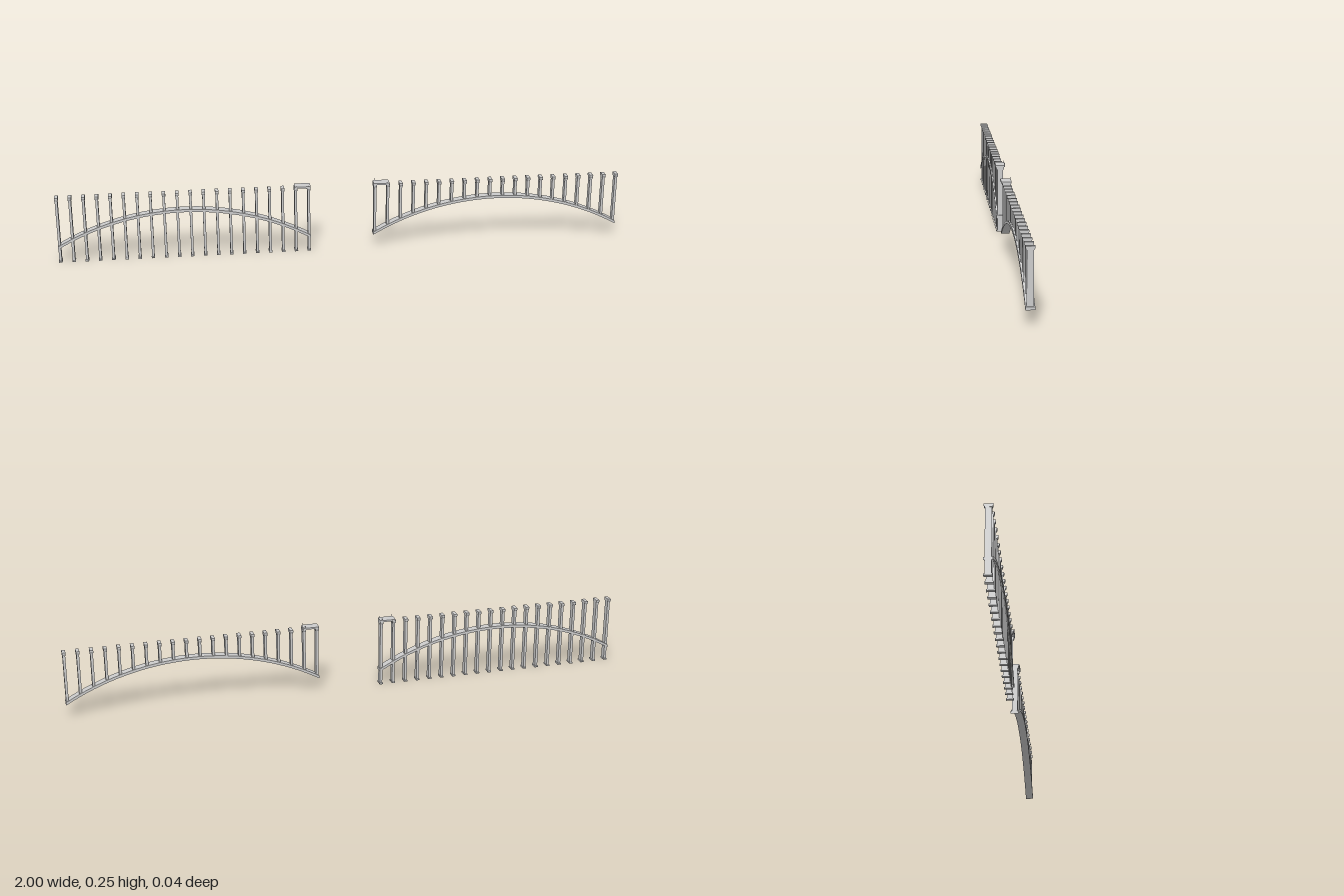
import * as THREE from 'three';

const material = new THREE.MeshStandardMaterial({ color: 0xcccccc, flatShading: true, side: THREE.DoubleSide });
const POSTS = 20, INNER = 0.118, OUTER = 0.994;
const MID = 0.556, HALF = 0.444, PEAK = 0.18, RISE = 0.12;
const RADIUS = (HALF * HALF + RISE * RISE) / (2 * RISE);

// Height of the arch's upper face at distance x from the centre
const archTop = (x) => PEAK - RADIUS + Math.sqrt(RADIUS * RADIUS - (x - MID) ** 2);

function add(parent, name, geometry, x = 0, y = 0, z = 0) {
  const mesh = new THREE.Mesh(geometry, material);
  mesh.name = name;
  mesh.position.set(x, y, z);
  parent.add(mesh);
  return mesh;
}

// Curved band of constant thickness, extruded across the depth
function archGeometry() {
  const top = [], bottom = [];
  const steps = 36, thick = 0.01, depth = 0.029;
  for (let i = 0; i <= steps; i++) {
    const x = MID - HALF + (2 * HALF * i) / steps;
    top.push(new THREE.Vector2(x, archTop(x)));
    bottom.unshift(new THREE.Vector2(x, archTop(x) - thick));
  }
  const geometry = new THREE.ExtrudeGeometry(new THREE.Shape([...top, ...bottom]), { depth, bevelEnabled: false });
  return geometry.translate(0, 0, -depth / 2);
}

// Flared capital, wider towards its top
function capitalGeometry() {
  const shape = new THREE.Shape([
    [-0.011, 0], [0.011, 0], [0.0145, 0.006], [0.0145, 0.012], [-0.0145, 0.012], [-0.0145, 0.006],
  ].map(([z, y]) => new THREE.Vector2(z, y)));
  const width = 0.012;
  return new THREE.ExtrudeGeometry(shape, { depth: width, bevelEnabled: false })
    .translate(0, 0, -width / 2).rotateY(Math.PI / 2);
}

// Flat slab with rounded corners
function slabGeometry(w, d, h, r) {
  const s = new THREE.Shape();
  s.moveTo(-w / 2 + r, -d / 2);
  s.lineTo(w / 2 - r, -d / 2);
  s.quadraticCurveTo(w / 2, -d / 2, w / 2, -d / 2 + r);
  s.lineTo(w / 2, d / 2 - r);
  s.quadraticCurveTo(w / 2, d / 2, w / 2 - r, d / 2);
  s.lineTo(-w / 2 + r, d / 2);
  s.quadraticCurveTo(-w / 2, d / 2, -w / 2, d / 2 - r);
  s.lineTo(-w / 2, -d / 2 + r);
  s.quadraticCurveTo(-w / 2, -d / 2, -w / 2 + r, -d / 2);
  return new THREE.ExtrudeGeometry(s, { depth: h, bevelEnabled: false, curveSegments: 4 }).rotateX(-Math.PI / 2);
}

// One half of the bridge; side is -1 or 1, and only one half has posts reaching the ground
function buildHalf(side, toGround) {
  const half = new THREE.Group();
  half.name = side > 0 ? 'leftSpan' : 'rightSpan';

  const arch = archGeometry();
  if (side < 0) arch.translate(-2 * MID, 0, 0);
  add(half, 'arch', arch);

  const capital = capitalGeometry();
  for (let i = 0; i < POSTS; i++) {
    const d = INNER + ((OUTER - INNER) * i) / (POSTS - 1);
    const post = new THREE.Group();
    post.name = 'post';
    post.position.x = side * d;
    const bottom = toGround ? 0 : archTop(d) - 0.005;
    const top = 0.234;
    add(post, 'shaft', new THREE.BoxGeometry(0.009, top - bottom, 0.021), 0, (top + bottom) / 2);
    add(post, 'capital', capital, 0, 0.23);
    if (toGround) add(post, 'foot', new THREE.BoxGeometry(0.012, 0.005, 0.028), 0, 0.0025);
    half.add(post);
  }

  // Wide top over the two innermost posts, with fine corner pins
  const platform = new THREE.Group();
  platform.name = 'platform';
  platform.position.set(side * 0.14, 0.241, 0);
  add(platform, 'slab', slabGeometry(0.056, 0.036, 0.006, 0.006));
  for (const sx of [-1, 1]) for (const sz of [-1, 1]) {
    add(platform, 'cornerPin', new THREE.CylinderGeometry(0.0004, 0.0008, 0.011, 5), sx * 0.022, 0.0085, sz * 0.0172);
  }
  half.add(platform);
  return half;
}

export function createModel() {
  const model = new THREE.Group();
  model.name = 'bridgeSpans';
  model.add(buildHalf(-1, true), buildHalf(1, false));
  return model;
}
